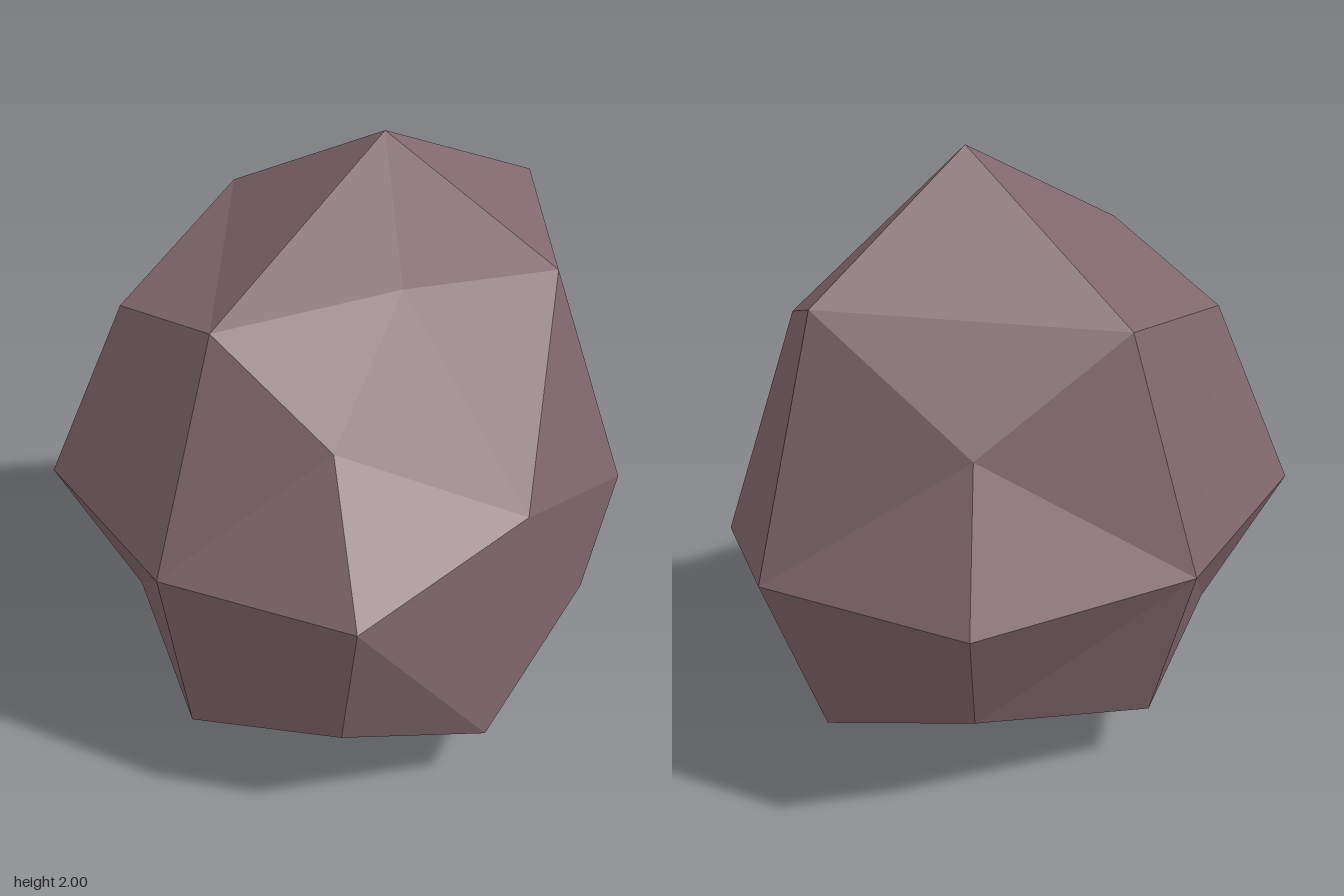
import * as THREE from 'three';

const stone = new THREE.MeshStandardMaterial({ color: 0x80676d, flatShading: true });
stone.name = 'mauve stone';

// Each ring runs from the left (+x) through the front (+z), right and back.
const lowRing = [
  [0.645, 0.21, 0.11], [0.46, 0.365, 0.605], [-0.15, 0.21, 0.775], [-0.605, 0.365, 0.61],
  [-0.79, 0.21, 0.11], [-0.605, 0.365, -0.38], [-0.15, 0.21, -0.555], [0.46, 0.365, -0.38],
];
const midRing = [
  [0.885, 0.825, 0.11], [0.625, 0.725, 0.59], [0, 0.98, 0.77], [-0.65, 0.87, 0.73],
  [-0.89, 0.825, 0.11], [-0.79, 0.825, -0.555], [-0.09, 0.825, -0.775], [0.645, 0.825, -0.555],
];
const highRing = [
  [0.645, 1.655, 0.11], [0.46, 1.495, 0.42], [-0.08, 1.59, 0.3], [-0.465, 1.25, 0.425],
  [-0.65, 1.59, 0.11], [-0.605, 1.44, -0.385], [-0.015, 1.59, -0.555], [0.465, 1.28, -0.385],
];
const base = [-0.165, 0, 0.11];
const peak = [0.02, 2, 0.11];

function rockGeometry() {
  const toVectors = (ring) => ring.map((p) => new THREE.Vector3(...p));
  const [low, mid, high] = [lowRing, midRing, highRing].map(toVectors);
  const [bottom, top] = toVectors([base, peak]);
  const corners = [];

  // Split each four-sided facet along its shorter diagonal
  const quad = (a, b, c, d) => {
    if (a.distanceTo(c) <= b.distanceTo(d)) corners.push(a, b, c, a, c, d);
    else corners.push(a, b, d, b, c, d);
  };

  // Sides
  for (const [lower, upper] of [[low, mid], [mid, high]]) {
    for (let i = 0; i < 8; i++) {
      const j = (i + 1) % 8;
      quad(lower[i], upper[i], upper[j], lower[j]);
    }
  }
  // Crown and underside: four facets meeting at a point
  for (let i = 0; i < 8; i += 2) {
    const j = (i + 2) % 8;
    quad(top, high[j], high[i + 1], high[i]);
    quad(bottom, low[i], low[i + 1], low[j]);
  }

  const geometry = new THREE.BufferGeometry().setFromPoints(corners);
  geometry.computeVertexNormals();
  return geometry;
}

export function createModel() {
  const group = new THREE.Group();
  group.name = 'rock';
  const boulder = new THREE.Mesh(rockGeometry(), stone);
  boulder.name = 'boulder';
  group.add(boulder);
  return group;
}
